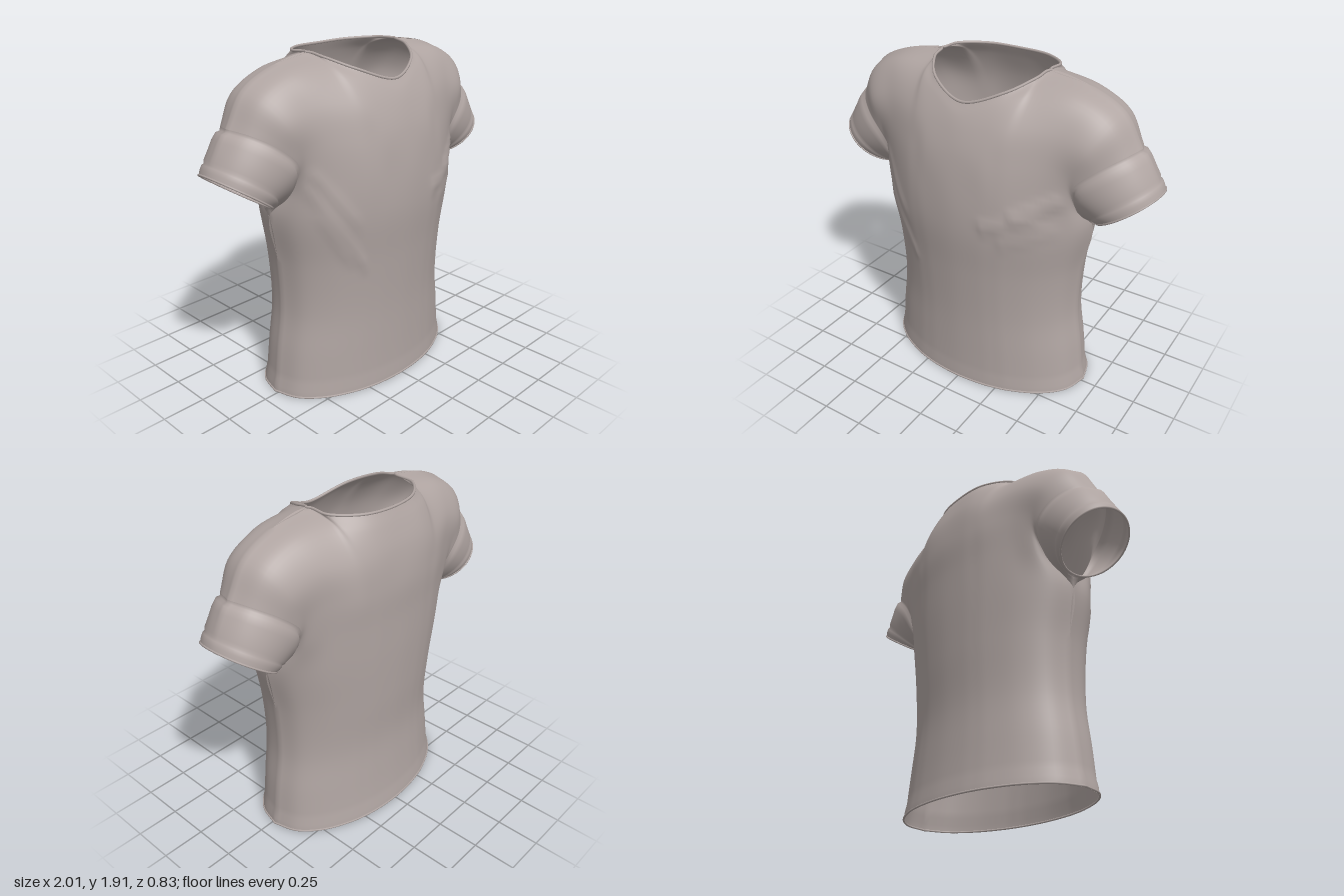
import * as THREE from 'three';
import { mergeGeometries, mergeVertices } from 'three/addons/utils/BufferGeometryUtils.js';

const V = (x, y, z) => new THREE.Vector3(x, y, z);
const STEPS = 6; // samples between control points

// Torso rings below the armpit: height, half width, front depth, back depth
const RINGS = [
  [0, 0.652, 0.365, 0.4],
  [0.25, 0.625, 0.365, 0.38],
  [0.5, 0.59, 0.37, 0.37],
  [0.8, 0.6, 0.39, 0.39],
  [1.08, 0.645, 0.415, 0.405],
];
const SIDE_Z = -0.02;

// Column positions from side seam to centre, as a fraction of the half width
const COLUMNS = [1, 0.93, 0.75, 0.5, 0.37, 0.25, 0];

// Chest and shoulder points per column, from armpit height up to shoulder or neckline
const FRONT = [
  [0.6, 1.25, 0.12, 0.61, 1.4, 0.19, 0.72, 1.51, 0.165, 0.82, 1.575, 0.08, 0.87, 1.595, -0.04],
  [0.575, 1.28, 0.19, 0.585, 1.46, 0.21, 0.67, 1.61, 0.19, 0.74, 1.725, 0.09, 0.765, 1.765, -0.04],
  [0.47, 1.3, 0.275, 0.475, 1.5, 0.26, 0.52, 1.68, 0.205, 0.56, 1.82, 0.1, 0.58, 1.858, -0.04],
  [0.32, 1.3, 0.355, 0.325, 1.5, 0.325, 0.335, 1.68, 0.265, 0.345, 1.83, 0.14, 0.34, 1.9, -0.04],
  [0.24, 1.3, 0.38, 0.245, 1.5, 0.35, 0.265, 1.67, 0.295, 0.3, 1.81, 0.19, 0.315, 1.885, 0.06],
  [0.16, 1.3, 0.395, 0.165, 1.5, 0.37, 0.18, 1.66, 0.315, 0.2, 1.77, 0.25, 0.215, 1.83, 0.195],
  [0, 1.3, 0.41, 0, 1.5, 0.38, 0, 1.62, 0.345, 0, 1.7, 0.31, 0, 1.76, 0.27],
];
const BACK = [
  [0.6, 1.25, -0.18, 0.61, 1.4, -0.255, 0.72, 1.51, -0.24, 0.82, 1.575, -0.16, 0.87, 1.595, -0.04],
  [0.575, 1.28, -0.24, 0.585, 1.46, -0.27, 0.67, 1.61, -0.26, 0.74, 1.725, -0.17, 0.765, 1.765, -0.04],
  [0.47, 1.3, -0.3, 0.475, 1.5, -0.31, 0.52, 1.68, -0.285, 0.56, 1.82, -0.18, 0.58, 1.858, -0.04],
  [0.32, 1.3, -0.365, 0.325, 1.5, -0.37, 0.335, 1.68, -0.335, 0.345, 1.84, -0.22, 0.34, 1.9, -0.04],
  [0.24, 1.3, -0.385, 0.245, 1.5, -0.39, 0.26, 1.68, -0.365, 0.3, 1.82, -0.28, 0.325, 1.893, -0.17],
  [0.16, 1.3, -0.4, 0.165, 1.5, -0.405, 0.17, 1.68, -0.385, 0.18, 1.81, -0.335, 0.19, 1.885, -0.285],
  [0, 1.3, -0.41, 0, 1.5, -0.415, 0, 1.68, -0.39, 0, 1.8, -0.35, 0, 1.88, -0.315],
];

// Cloth folds on the chest: x0, y0, x1, y1, height, width
const FOLDS = [
  [0.2, 1.14, 0.45, 1.2, 0.012, 0.03],
  [0.36, 1.22, 0.54, 1.31, 0.018, 0.03],
  [0.3, 1.06, 0.52, 1.14, 0.008, 0.03],
  [-0.57, 1.26, -0.3, 0.8, 0.009, 0.025],
  [-0.52, 1.1, -0.38, 0.84, 0.008, 0.022],
  [-0.54, 1.33, -0.36, 1.06, 0.008, 0.03],
];

function sample(points, steps) {
  return new THREE.CatmullRomCurve3(points).getPoints((points.length - 1) * steps);
}

// Surface through a grid of points; flip turns it to face the other way
function gridGeometry(rows, flip) {
  const n = rows[0].length, index = [];
  for (let i = 0; i < rows.length - 1; i++) {
    for (let j = 0; j < n - 1; j++) {
      const a = i * n + j, b = a + 1, d = a + n, c = d + 1;
      if (flip) index.push(a, c, b, a, d, c);
      else index.push(a, b, c, a, c, d);
    }
  }
  const geometry = new THREE.BufferGeometry().setFromPoints(rows.flat());
  geometry.setIndex(index);
  return geometry;
}

function smooth(geometry) {
  const merged = mergeVertices(geometry, 1e-4);
  merged.computeVertexNormals();
  return merged;
}

function foldHeight(p) {
  let h = 0;
  for (const [x0, y0, x1, y1, height, width] of FOLDS) {
    const line = new THREE.Line3(V(x0, y0, 0), V(x1, y1, 0));
    const q = V(p.x, p.y, 0);
    const d = line.closestPointToPoint(q, true, V(0, 0, 0)).distanceTo(q);
    h += height * Math.exp(-((d / width) ** 2));
  }
  return h;
}

// One half of the body, as rows from hem to shoulder running from +x to -x
function bodyRows(table, front) {
  const half = COLUMNS.map((c, k) => {
    const points = RINGS.map(([y, a, zf, zb]) => {
      const s = Math.sqrt(1 - c * c);
      return V(a * c, y, SIDE_Z + s * (front ? zf - SIDE_Z : -zb - SIDE_Z));
    });
    for (let i = 0; i < 15; i += 3) points.push(V(...table[k].slice(i, i + 3)));
    return sample(points, STEPS);
  });
  const mirrored = half.slice(0, -1).reverse().map((col) => col.map((p) => V(-p.x, p.y, p.z)));
  const columns = [...half, ...mirrored];
  return columns[0].map((_, j) => {
    const row = sample(columns.map((col) => col[j]), STEPS);
    row.forEach((p, k) => {
      if (p.y < 0.07) { p.x *= 1.012; p.z *= 1.012; } // doubled hem
      if (front) p.z += foldHeight(p) * Math.min(1, Math.min(k, row.length - 1 - k) / 6);
    });
    return row;
  });
}

// Sleeve lofted from the armhole loop to the oval cuff: [distance, outward swell]
const SLEEVE = [[0, 0], [0.06, -0.006], [0.14, 0.01], [0.3, 0.014], [0.5, 0.01],
  [0.7, 0.008], [0.76, 0.001], [0.81, 0.007], [0.9, 0.006], [1, 0]];

function sleeveRows(armhole, side) {
  const centre = V(0.835 * side, 1.265, -0.04);
  const down = V(-0.165 * side, -0.115, 0);
  const last = armhole.length - 1;
  const cuff = armhole.map((_, k) => {
    const angle = (k / last) * Math.PI * 2;
    return centre.clone().addScaledVector(down, Math.cos(angle)).add(V(0, 0, 0.2 * Math.sin(angle)));
  });
  const middle = armhole.reduce((sum, p) => sum.add(p), V(0, 0, 0)).divideScalar(armhole.length);
  return SLEEVE.map(([s, swell]) => {
    const axis = middle.clone().lerp(centre, s);
    return armhole.map((p, k) => {
      const q = p.clone().lerp(cuff[k], s);
      return q.addScaledVector(q.clone().sub(axis).normalize(), swell);
    });
  });
}

export function createModel() {
  const model = new THREE.Group();
  model.name = 'shirt';
  const fabric = new THREE.MeshStandardMaterial({ color: 0xb0a5a2, side: THREE.DoubleSide });
  fabric.name = 'warm grey fabric';

  function add(name, geometry) {
    const mesh = new THREE.Mesh(geometry, fabric);
    mesh.name = name;
    model.add(mesh);
  }
  // Rolled edge along an opening
  function addRim(name, loop, radius) {
    const curve = new THREE.CatmullRomCurve3(loop, true);
    add(name, new THREE.TubeGeometry(curve, 120, radius, 6, true));
  }

  // Body: front and back joined at the side seams and shoulders
  const front = bodyRows(FRONT, true);
  const back = bodyRows(BACK, false);
  add('body', smooth(mergeGeometries([gridGeometry(front, true), gridGeometry(back, false)])));

  // Hem and neck edges
  const loopOf = (a, b) => [...a, ...b.slice(1, -1).reverse()];
  const raise = (p) => V(p.x, p.y + 0.006, p.z);
  addRim('hemEdge', loopOf(front[0], back[0]).map(raise), 0.006);
  const top = front.length - 1, from = 3 * STEPS, to = 9 * STEPS + 1;
  addRim('neckEdge', loopOf(front[top].slice(from, to), back[top].slice(from, to)), 0.008);

  // Sleeves start on the armhole left open by the outermost columns
  const armpit = (RINGS.length - 1) * STEPS;
  for (const side of [1, -1]) {
    const column = (rows) => rows.slice(armpit).map((row) => row[side > 0 ? 0 : row.length - 1]);
    const armhole = [...column(front), ...column(back).reverse().slice(1)];
    const rows = sleeveRows(armhole, side);
    const name = side > 0 ? 'left' : 'right';
    add(name + 'Sleeve', smooth(gridGeometry(rows, side > 0)));
    addRim(name + 'CuffEdge', rows[rows.length - 1].slice(0, -1), 0.006);
  }
  return model;
}
